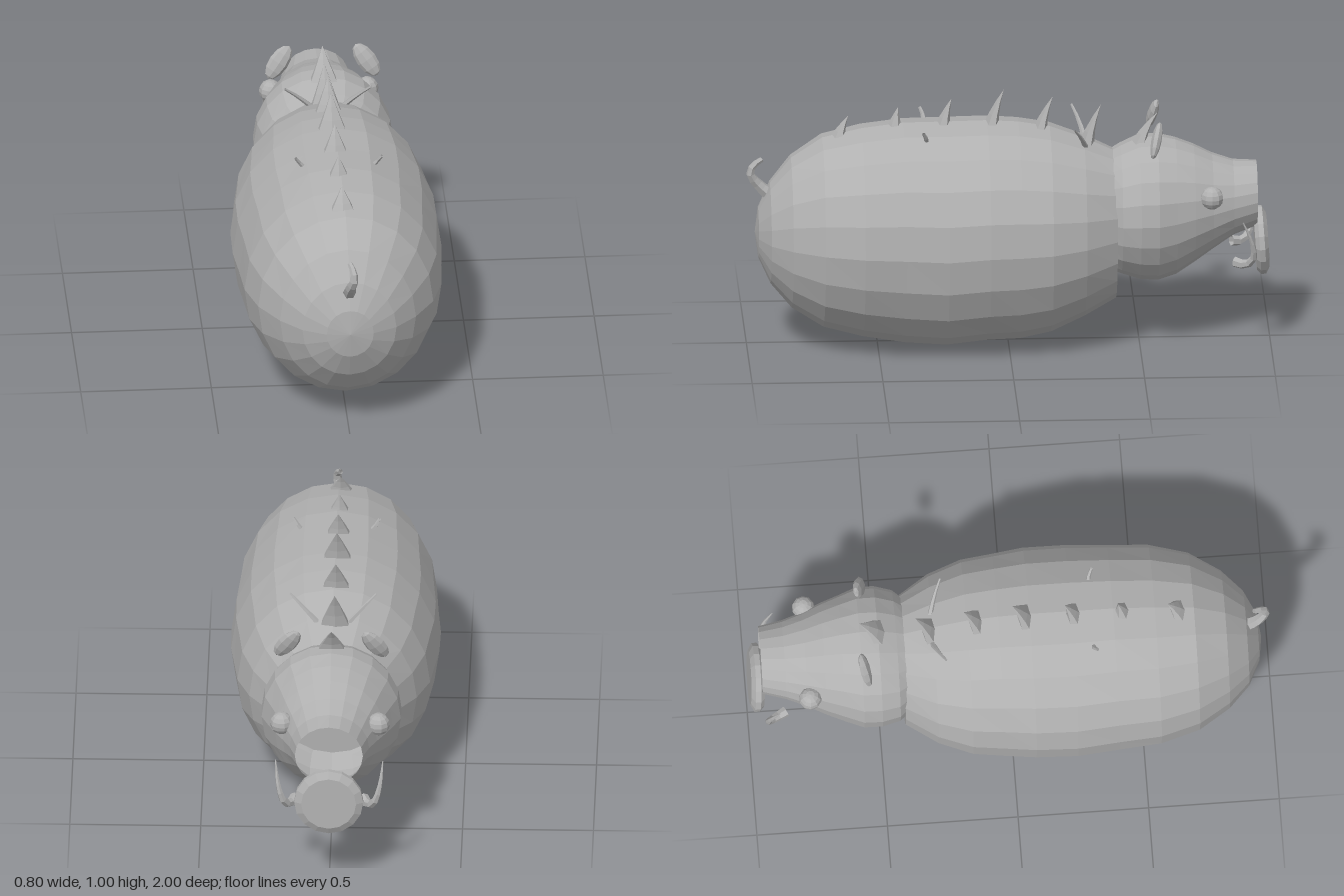
import * as THREE from 'three';

const hide = new THREE.MeshStandardMaterial({ color: 0xb0b0b0, flatShading: true, side: THREE.DoubleSide });
hide.name = 'grey hide';
const SIDES = 20;

function add(parent, name, geometry) {
  const mesh = new THREE.Mesh(geometry, hide);
  mesh.name = name;
  parent.add(mesh);
  return mesh;
}

// Skin over elliptical rings [z, bottom, top, halfWidth], ordered from +z to -z
function loft(rings, capEnd) {
  const pos = [], idx = [];
  for (const [z, bottom, top, w] of rings) {
    for (let j = 0; j < SIDES; j++) {
      const a = (j / SIDES) * Math.PI * 2;
      pos.push(w * Math.cos(a), (top + bottom) / 2 + ((top - bottom) / 2) * Math.sin(a), z);
    }
  }
  for (let i = 0; i < rings.length - 1; i++) {
    for (let j = 0; j < SIDES; j++) {
      const k = (j + 1) % SIDES, a = i * SIDES, b = a + SIDES;
      idx.push(a + j, b + j, a + k, a + k, b + j, b + k);
    }
  }
  if (capEnd) {
    const [z, bottom, top] = rings[rings.length - 1];
    const a = (rings.length - 1) * SIDES, c = pos.length / 3;
    pos.push(0, (bottom + top) / 2, z);
    for (let j = 0; j < SIDES; j++) idx.push(a + j, c, a + ((j + 1) % SIDES));
  }
  const g = new THREE.BufferGeometry();
  g.setAttribute('position', new THREE.Float32BufferAttribute(pos, 3));
  g.setIndex(idx);
  g.computeVertexNormals();
  return g;
}

// Tube along points, tapering from full radius to the given end fraction
function taperedTube(points, radius, end, steps = 8, sides = 6) {
  const curve = new THREE.CatmullRomCurve3(points.map(p => new THREE.Vector3(...p)));
  const g = new THREE.TubeGeometry(curve, steps, radius, sides);
  const p = g.attributes.position, v = new THREE.Vector3();
  for (let i = 0; i < p.count; i++) {
    const t = Math.floor(i / (sides + 1)) / steps;
    const c = curve.getPointAt(t);
    v.fromBufferAttribute(p, i).sub(c).multiplyScalar(1 + (end - 1) * t).add(c);
    p.setXYZ(i, v.x, v.y, v.z);
  }
  return g;
}

// Flattened cone leaning forward from its base to its tip
function spine(baseZ, baseY, tipZ, tipY, halfWidth, x) {
  const h = tipY - baseY;
  const g = new THREE.ConeGeometry(1, 1, 6, 3);
  g.translate(0, 0.5, 0);
  const p = g.attributes.position;
  for (let i = 0; i < p.count; i++) {
    const t = p.getY(i);
    p.setXYZ(i, x + (p.getX(i)) * halfWidth, baseY + t * h,
      baseZ + (tipZ - baseZ) * t * (0.6 + 0.4 * t) + p.getZ(i) * 0.03);
  }
  return g;
}

export function createModel() {
  const model = new THREE.Group();
  model.name = 'boar';

  // Barrel body with a flat neck end
  add(model, 'body', loft([
    [0.968, 0.449, 0.451, 0.001],
    [0.955, 0.35, 0.545, 0.09],
    [0.91, 0.25, 0.645, 0.18],
    [0.83, 0.155, 0.745, 0.26],
    [0.71, 0.08, 0.825, 0.335],
    [0.56, 0.042, 0.86, 0.377],
    [0.4, 0.015, 0.88, 0.387],
    [0.24, 0.004, 0.882, 0.4],
    [0.08, 0.022, 0.885, 0.398],
    [-0.04, 0.025, 0.878, 0.382],
    [-0.16, 0.05, 0.858, 0.368],
    [-0.29, 0.11, 0.81, 0.32],
    [-0.41, 0.175, 0.755, 0.24],
  ], true));

  // Head narrowing to an open snout
  add(model, 'head', loft([
    [-0.385, 0.29, 0.75, 0.21],
    [-0.43, 0.275, 0.775, 0.25],
    [-0.5, 0.252, 0.808, 0.268],
    [-0.57, 0.247, 0.812, 0.266],
    [-0.64, 0.268, 0.797, 0.238],
    [-0.71, 0.315, 0.77, 0.212],
    [-0.78, 0.365, 0.735, 0.18],
    [-0.86, 0.42, 0.708, 0.152],
    [-0.95, 0.455, 0.704, 0.13],
  ], false));

  // Bevelled snout disc hanging below the opening
  const profile = [[0, -0.025], [0.115, -0.025], [0.132, -0.01], [0.132, 0.01], [0.105, 0.025], [0, 0.025]];
  const disc = add(model, 'snoutDisc',
    new THREE.LatheGeometry(profile.map(p => new THREE.Vector2(...p)), 16));
  disc.rotation.x = -Math.PI / 2 + 0.06;
  disc.position.set(0, 0.39, -0.968);

  // Curled tail
  add(model, 'tail', taperedTube([
    [0, 0.59, 0.9], [0, 0.64, 0.955], [0.012, 0.685, 0.985], [0.012, 0.718, 0.975], [0, 0.74, 0.94],
  ], 0.028, 0.35));

  // Row of back spines: base z, base y, tip z, tip y, half width
  const spines = [
    [0.65, 0.825, 0.61, 0.908, 0.05],
    [0.435, 0.86, 0.42, 0.94, 0.042],
    [0.25, 0.865, 0.215, 0.972, 0.052],
    [0.065, 0.865, 0.015, 1.005, 0.062],
    [-0.12, 0.84, -0.172, 0.975, 0.062],
    [-0.3, 0.785, -0.357, 0.942, 0.062],
    [-0.5, 0.79, -0.572, 0.908, 0.06],
  ];
  spines.forEach(([bz, by, tz, ty, w], i) =>
    add(model, 'backSpine' + (i + 1), spine(bz, by, tz, ty, w, i < 6 ? -0.008 : 0)));

  // Paired parts
  for (const s of [1, -1]) {
    const side = s > 0 ? 'left' : 'right';

    const eye = add(model, side + 'Eye', new THREE.SphereGeometry(0.044, 10, 8));
    eye.position.set(s * 0.185, 0.62, -0.772);

    // Leaf-shaped ear
    const ear = add(model, side + 'Ear', new THREE.SphereGeometry(1, 8, 6));
    ear.scale.set(0.038, 0.075, 0.02);
    ear.position.set(s * 0.168, 0.848, -0.56);
    ear.rotation.set(-0.25, 0, s * 0.6);

    // Tusk curling forward and up
    add(model, side + 'Tusk', taperedTube([
      [s * 0.13, 0.345, -0.86], [s * 0.15, 0.34, -0.9], [s * 0.175, 0.37, -0.93],
      [s * 0.195, 0.44, -0.925], [s * 0.205, 0.525, -0.89],
    ], 0.021, 0.1));

    // Bristles on the shoulder and rump
    add(model, side + 'ShoulderBristle', taperedTube([
      [s * 0.06, 0.79, -0.295], [s * 0.115, 0.845, -0.275], [s * 0.165, 0.89, -0.25],
    ], 0.011, 0.4, 3, 5));
    add(model, side + 'RumpBristle', taperedTube([
      [s * 0.13, 0.84, 0.315], [s * 0.15, 0.865, 0.32], [s * 0.165, 0.888, 0.33],
    ], 0.01, 0.6, 2, 5));
  }
  return model;
}
